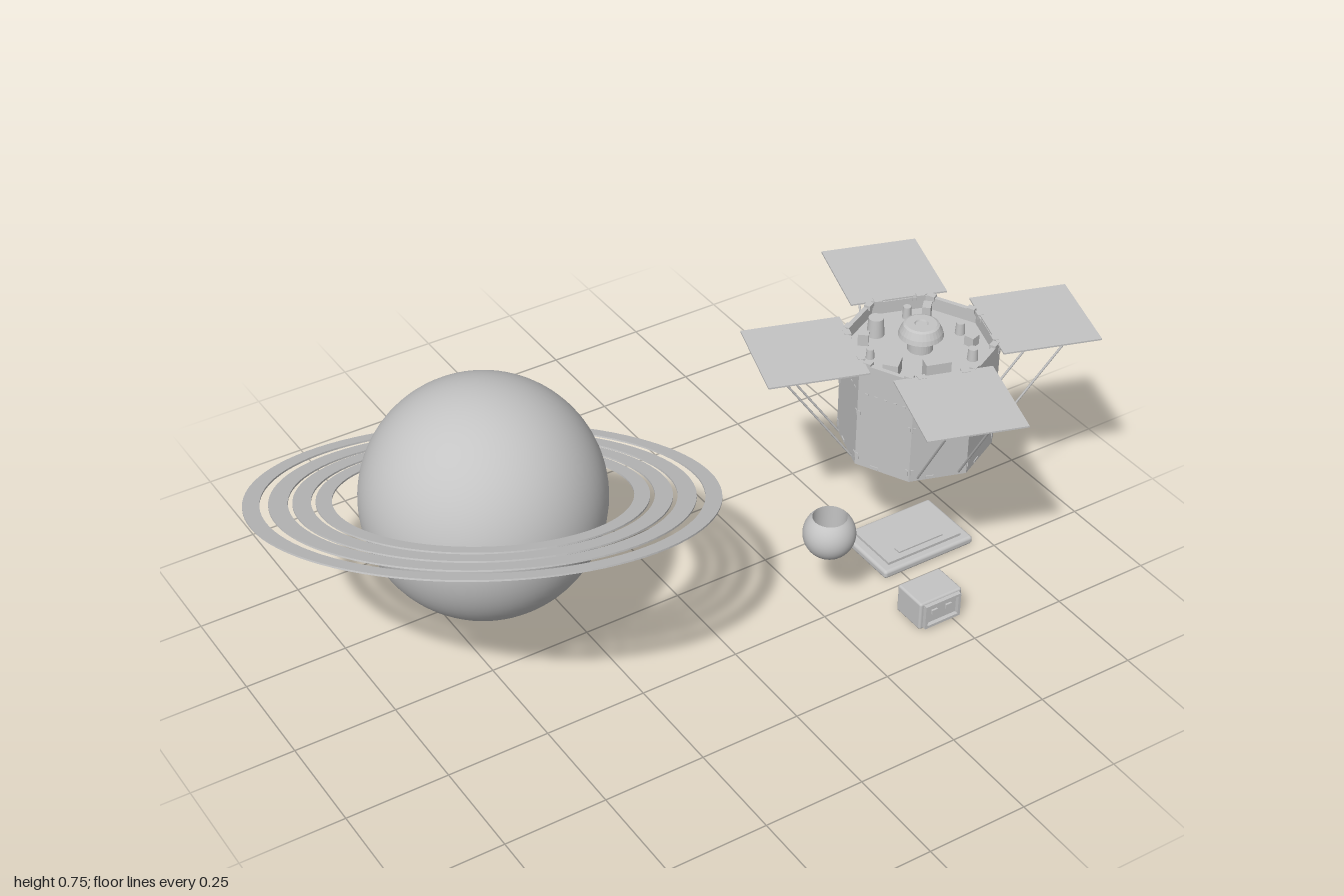
import * as THREE from 'three';
import { RoundedBoxGeometry } from 'three/addons/geometries/RoundedBoxGeometry.js';

export function createModel() {
  const grey = new THREE.MeshStandardMaterial({ color: 0xc4c4c4 });
  grey.name = 'grey';
  const root = new THREE.Group();

  const add = (parent, name, geo, x = 0, y = 0, z = 0) => {
    const m = new THREE.Mesh(geo, grey);
    m.name = name;
    m.position.set(x, y, z);
    parent.add(m);
    return m;
  };
  const group = (name, x = 0, y = 0, z = 0) => {
    const g = new THREE.Group();
    g.name = name;
    g.position.set(x, y, z);
    root.add(g);
    return g;
  };
  const box = (w, h, d) => new THREE.BoxGeometry(w, h, d);
  const lathe = (pts, sides, flat) => {
    let g = new THREE.LatheGeometry(pts.map(p => new THREE.Vector2(p[0], p[1])), sides);
    if (flat) {
      g = g.toNonIndexed();
      g.computeVertexNormals();
    }
    return g;
  };
  const rod = (parent, name, a, b, r) => {
    const dir = b.clone().sub(a);
    const m = add(parent, name, new THREE.CylinderGeometry(r, r, dir.length(), 6));
    m.position.copy(a).addScaledVector(dir, 0.5);
    m.quaternion.setFromUnitVectors(new THREE.Vector3(0, 1, 0), dir.normalize());
  };

  // Planet with four tilted ring bands
  const planet = group('ringedPlanet', -0.483, 0.478, -0.031);
  add(planet, 'globe', new THREE.SphereGeometry(0.275, 64, 40));
  const rings = new THREE.Group();
  rings.name = 'rings';
  rings.quaternion.setFromUnitVectors(new THREE.Vector3(0, 1, 0),
    new THREE.Vector3(0.171, 0.949, -0.266).normalize());
  planet.add(rings);
  for (const [r0, r1] of [[0.33, 0.365], [0.375, 0.415], [0.425, 0.467], [0.486, 0.523]]) {
    const t = 0.002;
    add(rings, 'ringBand', lathe([[r0, -t], [r1, -t], [r1, t], [r0, t], [r0, -t]], 96, true));
  }

  // Spacecraft body: octagonal tub with a sunken deck
  const craft = group('spacecraft', 0.585, 0, 0.12);
  craft.rotation.y = -Math.PI / 10;
  const R = 0.183, low = 0.315, high = 0.597, deckY = 0.565;
  const body = add(craft, 'octagonBody', lathe(
    [[0, low], [R, low], [R, high], [R - 0.012, high], [R - 0.012, deckY], [0, deckY]], 8, true));
  body.rotation.y = Math.PI / 8;

  // Seams, corner clips and fasteners around the body
  const apothem = R * Math.cos(Math.PI / 8);
  for (let i = 0; i < 8; i++) {
    const side = new THREE.Group();
    side.name = 'bodySide';
    side.rotation.y = i * Math.PI / 4;
    craft.add(side);
    for (const s of [-1, 1]) {
      add(side, 'cornerClip', box(0.016, 0.012, 0.02), apothem - 0.008, high, s * 0.052);
      for (const y of [0.34, 0.46, 0.58])
        add(side, 'cornerTab', box(0.004, 0.016, 0.007), apothem, y, s * 0.064);
    }
    for (let k = -2; k <= 2; k++)
      add(side, 'fastener', box(0.004, 0.003, 0.008), apothem, 0.52, k * 0.024);
    add(side, 'lowerTab', box(0.004, 0.006, 0.02), apothem, 0.322, 0.02);
  }

  // Four solar panels with hinges and paired struts
  for (let i = 0; i < 4; i++) {
    const arm = new THREE.Group();
    arm.name = 'solarPanelArm';
    arm.rotation.y = i * Math.PI / 2;
    craft.add(arm);
    add(arm, 'solarPanel', box(0.238, 0.004, 0.236), 0.278, 0.6, 0);
    for (const s of [-1, 1]) {
      add(arm, 'hinge', box(0.02, 0.01, 0.016), 0.165, 0.594, s * 0.04);
      rod(arm, 'strut', new THREE.Vector3(0.367, 0.6, s * 0.05),
        new THREE.Vector3(0.172, 0.325, s * 0.05), 0.0028);
    }
  }

  // Instruments on the deck
  const deck = group('deckInstruments', 0.585, 0, 0.12);
  add(deck, 'centralDome', lathe([[0, deckY], [0.03, deckY], [0.03, 0.6], [0.053, 0.604],
    [0.05, 0.615], [0.042, 0.631], [0.036, 0.634], [0.016, 0.634], [0.014, 0.63], [0, 0.63]], 32, true));
  for (const [x, z, r, h] of [[-0.053, -0.102, 0.021, 0.046], [0.05, -0.12, 0.011, 0.03],
    [0.115, 0.0, 0.012, 0.03], [-0.12, -0.03, 0.01, 0.025], [0.075, 0.1, 0.013, 0.03]])
    add(deck, 'sensorPod', new THREE.CylinderGeometry(r * 0.85, r, h, 20), x, deckY + h / 2, z);
  for (const [x, z, w, d, h, a] of [[-0.034, 0.108, 0.06, 0.028, 0.04, -0.3],
    [-0.115, 0.048, 0.042, 0.036, 0.035, 0.7], [0.085, -0.09, 0.03, 0.02, 0.04, 0.8],
    [0.11, 0.05, 0.025, 0.025, 0.025, 0.3], [-0.1, -0.085, 0.025, 0.02, 0.03, -0.7]])
    add(deck, 'equipmentBox', box(w, h, d), x, deckY + h / 2, z).rotation.y = a;

  // Bead: sphere with a vertical bore
  const profile = [[0.04, -0.047]];
  const start = Math.asin(0.047 / 0.062);
  for (let i = 0; i <= 16; i++) {
    const a = -start + 2 * start * i / 16;
    profile.push([0.062 * Math.cos(a), 0.062 * Math.sin(a)]);
  }
  add(root, 'beadOuter', lathe(profile.slice(1), 48), 0.264, 0.235, 0.235);
  add(root, 'beadBore', lathe([[0.0405, 0.047], [0.0405, -0.047]], 48), 0.264, 0.235, 0.235);

  // Flat tablet lying on the ground
  const tablet = group('tablet', 0.58, 0, 0.126);
  add(tablet, 'tabletBase', new RoundedBoxGeometry(0.262, 0.022, 0.18, 3, 0.008), 0, 0.011, 0);
  add(tablet, 'raisedPanel', box(0.215, 0.008, 0.14), 0, 0.025, 0);
  add(tablet, 'rail', box(0.13, 0.004, 0.018), 0, 0.031, 0.045);

  // Small box with a framed front
  const cube = group('smallBox', 0.466, 0.04, 0.37);
  add(cube, 'boxBody', new RoundedBoxGeometry(0.12, 0.076, 0.09, 3, 0.006), 0, 0, -0.005);
  for (const s of [-1, 1]) {
    add(cube, 'frameRail', box(0.1, 0.007, 0.012), 0, s * 0.029, 0.044);
    add(cube, 'framePost', box(0.007, 0.058, 0.012), s * 0.047, 0, 0.044);
    add(cube, 'frontButton', box(0.016, 0.012, 0.006), s * 0.02, 0.004, 0.042);
  }
  return root;
}
